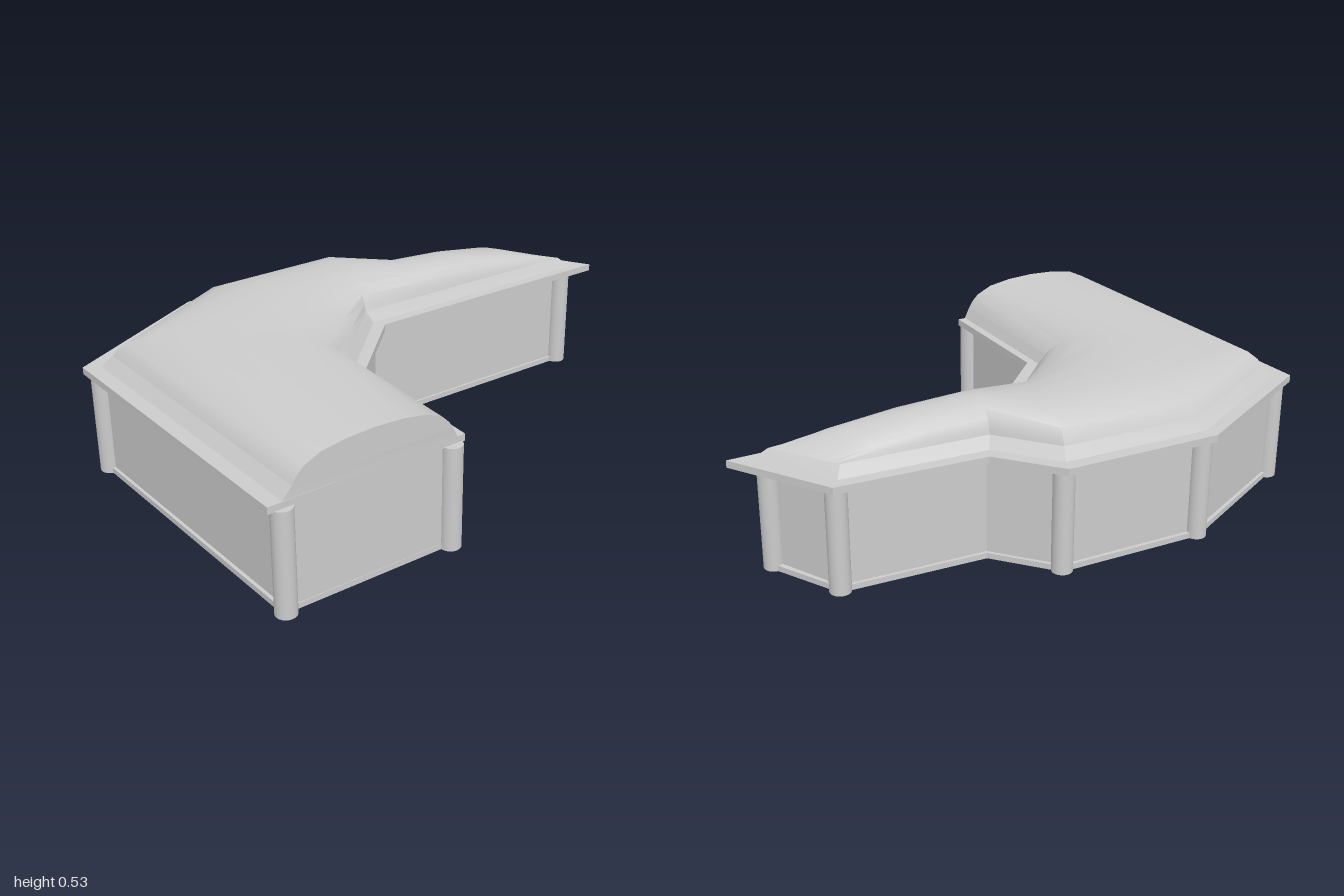
import * as THREE from 'three';
import { toCreasedNormals } from 'three/addons/utils/BufferGeometryUtils.js';

const material = new THREE.MeshStandardMaterial({ color: 0xcccccc, side: THREE.DoubleSide });

// Plan outlines as [x, z], all with the same corner order
const EAVE = [[-0.945, 0.68], [-1, -0.43], [-0.455, -0.712], [0.1, -0.69], [0.27, -0.492],
  [0.785, -0.452], [1, -0.115], [0.02, -0.122], [-0.24, 0.135], [-0.24, 0.67]];
const WALL = [[-0.89, 0.665], [-0.95, -0.4], [-0.44, -0.65], [0.08, -0.63], [0.25, -0.435],
  [0.755, -0.4], [0.88, -0.155], [0, -0.155], [-0.265, 0.115], [-0.285, 0.665]];
const CREASE = [[-0.86, 0.675], [-0.91, -0.38], [-0.43, -0.635], [0.07, -0.61], [0.23, -0.42],
  [0.73, -0.385], [0.88, -0.17], [-0.02, -0.185], [-0.29, 0.09], [-0.29, 0.675]];
const COLUMN_CORNERS = [0, 1, 2, 3, 5, 6, 9];

const lerp = (a, b, t) => a.map((v, i) => v + (b[i] - v) * t);
const blend = (p, q, t) => p.map((v, i) => lerp(v, q[i], t));

// Upright prism on a plan outline
function prism(outline, y0, y1) {
  const shape = new THREE.Shape(outline.map(([x, z]) => new THREE.Vector2(x, -z)));
  return new THREE.ExtrudeGeometry(shape, { depth: y1 - y0, bevelEnabled: false })
    .rotateX(-Math.PI / 2).translate(0, y0, 0);
}

// Surface through rows of [x, y, z] points
function loft(rows) {
  const n = rows[0].length, index = [];
  for (let i = 0; i < rows.length - 1; i++) {
    for (let j = 0; j < n - 1; j++) {
      const a = i * n + j, c = a + n + 1;
      index.push(a, a + 1, c, a, c, a + n);
    }
  }
  const g = new THREE.BufferGeometry();
  g.setAttribute('position', new THREE.Float32BufferAttribute(rows.flat(2), 3));
  g.setIndex(index);
  return toCreasedNormals(g, 0.55);
}

export function createModel() {
  const group = new THREE.Group();
  const add = (name, geometry) => {
    const mesh = new THREE.Mesh(geometry, material);
    mesh.name = name;
    group.add(mesh);
    return mesh;
  };

  // Body
  add('basePlinth', prism(blend(WALL, EAVE, 0.22), 0, 0.02));
  add('walls', prism(WALL, 0.02, 0.37));
  add('eaveSlab', prism(EAVE, 0.367, 0.392));

  // Round corner columns
  const column = new THREE.CylinderGeometry(0.036, 0.036, 0.37, 20);
  for (const i of COLUMN_CORNERS) {
    add('cornerColumn', column).position.set(WALL[i][0], 0.185, WALL[i][1]);
  }

  // Sloping skirt around the foot of the roof
  const foot = blend(CREASE, EAVE, 0.4);
  const skirt = CREASE.map(([x, z], i) => [[foot[i][0], 0.392, foot[i][1]], [x, 0.43, z]]);
  add('roofSkirt', loft([...skirt, skirt[0]]));

  // Arched roof: [outer edge, inner edge, rise], from the gable to the tapered tip
  const [A, B, C, D, E, F, G, H, I, J] = CREASE;
  const stations = [
    [A, J, 0.096], [B, I, 0.096], [C, lerp(I, H, 0.5), 0.096], [D, H, 0.096],
    [E, lerp(H, G, 0.24), 0.094], [lerp(E, F, 0.4), lerp(H, G, 0.54), 0.082],
    [lerp(E, F, 0.75), lerp(H, G, 0.82), 0.052], [F, G, 0],
  ];
  const half = [[0, 0], [0.025, 0.25], [0.07, 0.52], [0.17, 0.8], [0.32, 0.95]];
  const arch = [...half, [0.5, 1], ...half.map(([t, h]) => [1 - t, h]).reverse()];
  const rows = stations.map(([outer, inner, rise]) => arch.map(([t, h]) => {
    const [x, z] = lerp(outer, inner, t);
    return [x, 0.43 + rise * h, z];
  }));
  add('archedRoof', loft(rows));

  // Flat wall closing the gable end
  const gable = new THREE.Shape(rows[0].map(([x, y]) => new THREE.Vector2(x, y)));
  add('gableEnd', new THREE.ShapeGeometry(gable).translate(0, 0, A[1]));

  return group;
}
